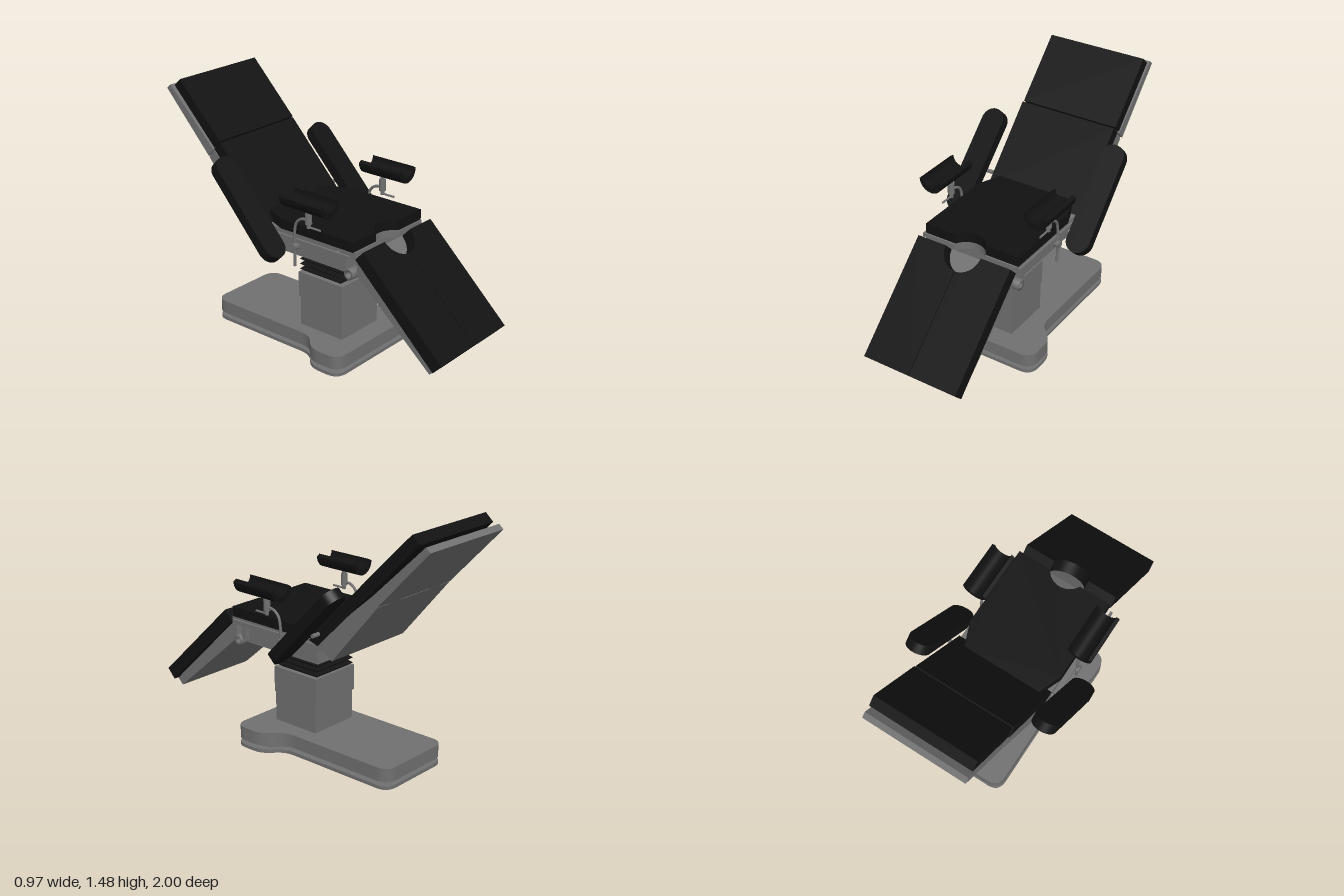
import * as THREE from 'three';

const grey = new THREE.MeshStandardMaterial({ color: 0x707070 });
const greyFlat = new THREE.MeshStandardMaterial({ color: 0x707070 });
const black = new THREE.MeshStandardMaterial({ color: 0x111111 });
const rubber = new THREE.MeshStandardMaterial({ color: 0x111111, flatShading: true, side: THREE.DoubleSide });
const CX = 0.01; // the upholstery sits slightly off the centre line

export function createModel() {
  const model = new THREE.Group();
  model.name = 'treatmentChair';

  const add = (name, geometry, material, parent = model) => {
    const mesh = new THREE.Mesh(geometry, material);
    mesh.name = name;
    parent.add(mesh);
    return mesh;
  };
  const extrude = (shape, depth) =>
    new THREE.ExtrudeGeometry(shape, { depth, bevelEnabled: false, curveSegments: 16 });
  const box = (x0, x1, y0, y1, z0, z1) =>
    new THREE.BoxGeometry(x1 - x0, y1 - y0, z1 - z0)
      .translate((x0 + x1) / 2, (y0 + y1) / 2, (z0 + z1) / 2);
  // Side profile of [z, y] points, extruded across x
  const prism = (points, x0, x1) =>
    extrude(new THREE.Shape(points.map(p => new THREE.Vector2(...p))), x1 - x0)
      .rotateY(-Math.PI / 2).translate(x1, 0, 0);
  // Plan outline in (x, z), extruded down from yTop
  const plan = (shape, yTop, depth) => extrude(shape, depth).rotateX(Math.PI / 2).translate(0, yTop, 0);
  // Outline in (x, distance down the slope), thickened below the slope
  const slope = (shape, depth, z, y, angle) => {
    const s = Math.sin(angle), c = Math.cos(angle);
    const m = new THREE.Matrix4().makeBasis(
      new THREE.Vector3(1, 0, 0), new THREE.Vector3(0, -s, c), new THREE.Vector3(0, -c, -s));
    return extrude(shape, depth).applyMatrix4(m.setPosition(0, y, z));
  };
  const rodX = (r, x0, x1, y, z) =>
    new THREE.CylinderGeometry(r, r, x1 - x0, 16).rotateZ(Math.PI / 2).translate((x0 + x1) / 2, y, z);

  // Foot: narrow at the back, flaring to a wide front, with a recessed groove
  const footShape = (inset) => {
    const w = 0.36 - inset, n = 0.25 - inset, f = 0.35 - inset, b = -0.7 + inset, r = 0.08;
    const s = new THREE.Shape();
    s.moveTo(-n + r, b);
    s.lineTo(n - r, b);
    s.quadraticCurveTo(n, b, n, b + r);
    s.lineTo(n, -0.02);
    s.bezierCurveTo(n, 0.12, w, 0.08, w, 0.22);
    s.lineTo(w, f - r);
    s.quadraticCurveTo(w, f, w - r, f);
    s.lineTo(-w + r, f);
    s.quadraticCurveTo(-w, f, -w, f - r);
    s.lineTo(-w, 0.22);
    s.bezierCurveTo(-w, 0.08, -n, 0.12, -n, -0.02);
    s.lineTo(-n, b + r);
    s.quadraticCurveTo(-n, b, -n + r, b);
    return s;
  };
  const foot = new THREE.Group();
  foot.name = 'foot';
  foot.position.x = 0.007;
  model.add(foot);
  add('footPlate', plan(footShape(0), 0.02, 0.02), grey, foot);
  add('footGroove', plan(footShape(0.05), 0.045, 0.025), grey, foot);
  add('footCover', plan(footShape(0), 0.125, 0.08), grey, foot);

  // Telescopic column and bellows
  add('columnLower', box(-0.165, 0.155, 0.125, 0.305, -0.085, 0.225), greyFlat);
  add('columnUpper', box(-0.17, 0.16, 0.305, 0.46, -0.095, 0.23), greyFlat);
  const folds = [];
  for (let i = 0; i <= 8; i++)
    folds.push(new THREE.Vector2((i % 2 ? 0.155 : 0.135) * Math.SQRT2, 0.46 + i * 0.0156));
  add('bellows', new THREE.LatheGeometry(folds, 4).rotateY(Math.PI / 4).translate(-0.005, 0, 0.06), rubber);
  add('columnNeck', box(-0.14, 0.13, 0.58, 0.615, -0.08, 0.21), greyFlat);

  // Seat: under-frame, plate and cushion with a round notch in the front edge
  const seatShape = (w, front, back, taper) => {
    const s = new THREE.Shape();
    const cz = 0.455, r = 0.112, a = Math.asin((cz - front) / r);
    s.moveTo(CX - w, back + taper);
    s.lineTo(CX - w + taper * 0.4, back);
    s.lineTo(CX + w - taper * 0.4, back);
    s.lineTo(CX + w, back + taper);
    s.lineTo(CX + w, front);
    s.absarc(0.005, cz, r, -a, -Math.PI + a, true);
    s.lineTo(CX - w, front);
    s.closePath();
    return s;
  };
  add('seatFrame', box(-0.25, 0.265, 0.61, 0.72, -0.205, 0.345), greyFlat);
  add('seatPlate', plan(seatShape(0.3, 0.415, -0.28, 0.02), 0.765, 0.045), grey);
  add('seatCushion', plan(seatShape(0.305, 0.405, -0.27, 0.16), 0.825, 0.06), black);

  // Leg section: split cushion with a notch, on a tapering wedge
  const legAngle = 0.758;
  for (const side of [-1, 1]) {
    const s = new THREE.Shape();
    const mid = 0.005, inner = mid + side * 0.002, outer = side < 0 ? -0.295 : 0.31;
    s.moveTo(outer, 0);
    s.lineTo(outer, 0.723);
    s.lineTo(inner, 0.723);
    s.lineTo(inner, 0.115);
    s.absarc(mid, 0, 0.115, Math.PI / 2, side < 0 ? Math.PI : 0, side > 0);
    s.closePath();
    add(side < 0 ? 'rightLegCushion' : 'leftLegCushion', slope(s, 0.078, 0.475, 0.787, legAngle), black);
  }
  add('legWedge', prism([[0.42, 0.732], [0.405, 0.627], [0.905, 0.197], [0.945, 0.232]], -0.265, 0.28), greyFlat);

  // Backrest and headrest
  add('backCushion', prism([[-0.2, 0.77], [-0.26, 0.75], [-0.625, 1.118], [-0.575, 1.163]], -0.29, 0.33), black);
  add('backWedge', prism([[-0.25, 0.77], [-0.36, 0.685], [-0.67, 1.055], [-0.63, 1.105]], -0.285, 0.325), greyFlat);
  add('headCushion', prism([[-0.582, 1.168], [-0.628, 1.122], [-0.935, 1.434], [-0.887, 1.478]], -0.285, 0.335), black);
  add('headPlate', prism([[-0.635, 1.105], [-0.675, 1.06], [-1, 1.405], [-0.972, 1.43]], -0.285, 0.335), greyFlat);
  for (const x of [-0.2, 0.14])
    add('headHinge', rodX(0.014, x, x + 0.1, 1.065, -0.662), grey);

  // Parts on both sides
  for (const side of [-1, 1]) {
    const group = new THREE.Group();
    group.name = side < 0 ? 'rightFittings' : 'leftFittings';
    model.add(group);

    // Armrest: round-ended sloping pad
    const w = 0.072, len = 0.655, arm = new THREE.Shape();
    arm.absarc(0, w, w, Math.PI, Math.PI * 2, false);
    arm.absarc(0, len - w, w, 0, Math.PI, false);
    arm.closePath();
    const pad = add('armrest', slope(arm, 0.062, -0.458, 1.135, 0.81), black, group);
    pad.position.x = side * 0.412;
    if (side < 0) pad.rotation.y = -0.035;
    add('armrestPin', rodX(0.012, Math.min(side * 0.3, side * 0.38), Math.max(side * 0.3, side * 0.38), 0.82, -0.27), grey, group);

    // Accessory rail
    const rail = side * 0.317;
    add('rail', box(rail - 0.007, rail + 0.007, 0.725, 0.75, -0.3, 0.4), greyFlat, group);
    for (const z of [-0.2, 0.3])
      add('railSpacer', rodX(0.01, Math.min(rail, side * 0.28), Math.max(rail, side * 0.28), 0.738, z), grey, group);

    // Leg hinge ring with its lug
    const hx = side * 0.27;
    const ring = [[0.017, -0.03], [0.033, -0.03], [0.033, 0.03], [0.017, 0.03], [0.017, -0.03]]
      .map(p => new THREE.Vector2(...p));
    add('hingeRing', new THREE.LatheGeometry(ring, 24).rotateZ(Math.PI / 2).translate(hx + CX, 0.625, 0.372), grey, group);
    add('hingeLug', box(hx - 0.02, hx + 0.03, 0.635, 0.725, 0.32, 0.352), greyFlat, group);

    // Leg support: trough on a curved stem, with clamps and a lever
    const px = side * 0.325, tx = side * 0.343;
    const trough = new THREE.Shape();
    trough.absarc(0, 0, 0.075, Math.PI, Math.PI * 2, false);
    trough.lineTo(0.06, 0.008);
    trough.absarc(0, 0.012, 0.055, Math.PI * 2, Math.PI, true);
    trough.closePath();
    add('legTrough', extrude(trough, 0.295).translate(tx, 1.02, -0.01), black, group);
    add('troughPost', new THREE.CylinderGeometry(0.012, 0.012, 0.12, 16).translate(px, 0.9, 0.12), grey, group);
    add('troughClamp', new THREE.CylinderGeometry(0.02, 0.02, 0.07, 20).translate(px, 0.9, 0.12), grey, group);
    add('clampLever', new THREE.CylinderGeometry(0.006, 0.006, 0.09, 12).rotateX(Math.PI / 2).translate(px, 0.846, 0.16), grey, group);
    const stem = new THREE.CatmullRomCurve3(
      [[0.885, 0.12], [0.88, 0.07], [0.85, 0.033], [0.79, 0.018], [0.7, 0.018], [0.585, 0.018]]
        .map(([y, z]) => new THREE.Vector3(px, y, z)));
    add('supportStem', new THREE.TubeGeometry(stem, 32, 0.008, 10), grey, group);
    add('railClamp', rodX(0.021, px - 0.018, px + 0.018, 0.702, 0.018), grey, group);
  }
  return model;
}
